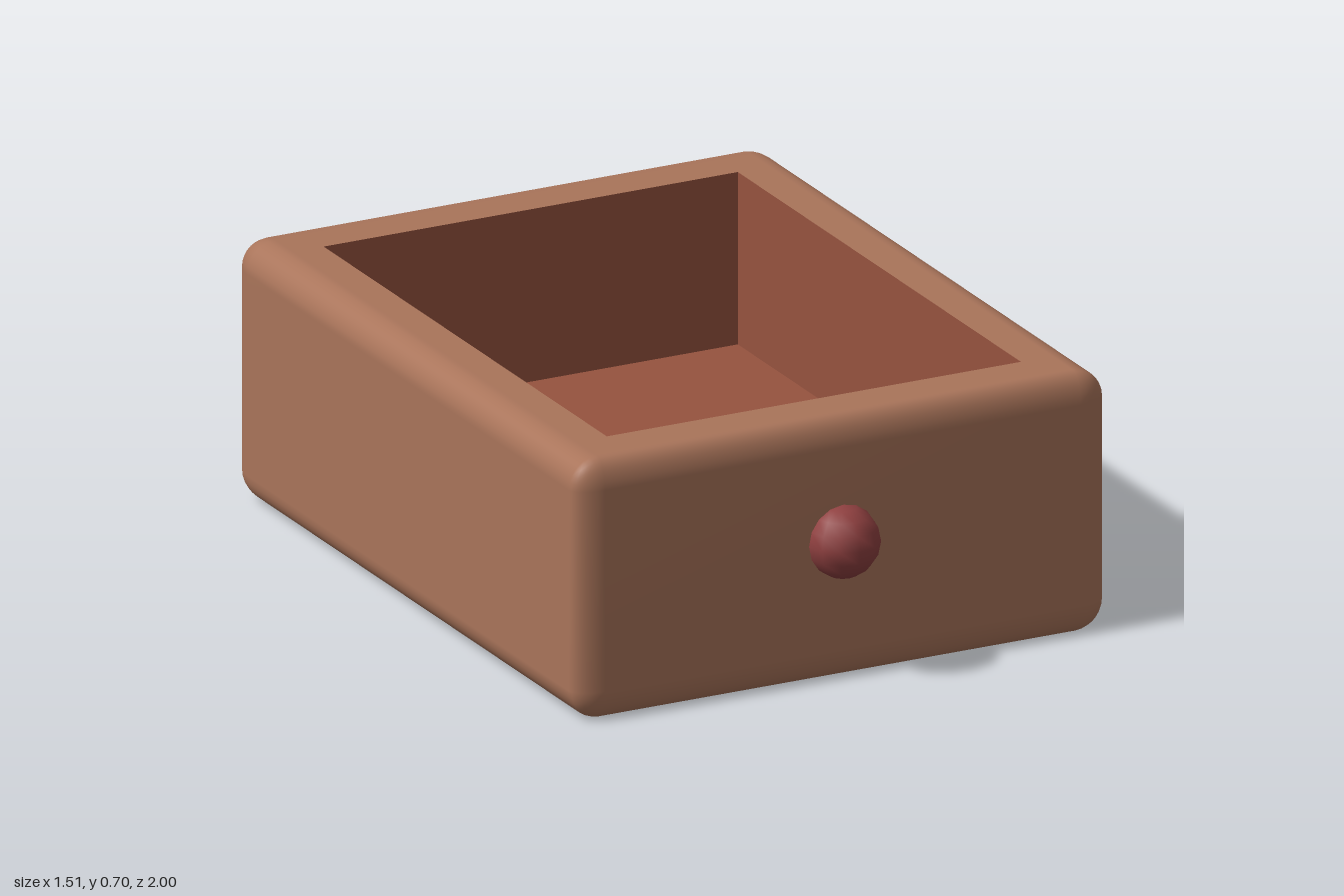
import * as THREE from 'three';
import { mergeVertices } from 'three/addons/utils/BufferGeometryUtils.js';
import { RoundedBoxGeometry } from 'three/addons/geometries/RoundedBoxGeometry.js';

const W = 1.51, H = 0.70, Z0 = -1, Z1 = 0.905;   // outer body
const R = 0.08, R_BACK = 0.10, R_FRONT = 0.045;  // edge rounding
const CAVITY = { x0: -0.59, x1: 0.585, z0: -0.80, z1: 0.75, floor: 0.237 };

const mat = (color) => new THREE.MeshStandardMaterial({ color });

function addMesh(group, name, geometry, material) {
  const mesh = new THREE.Mesh(geometry, material);
  mesh.name = name;
  group.add(mesh);
  return mesh;
}

// Rounded block with a tighter front edge, a softer back edge and no top face
function bodyGeometry() {
  const depth = Z1 - Z0, half = depth / 2;
  let g = new RoundedBoxGeometry(W, H, depth, 4, R);
  g.deleteAttribute('uv');
  g.deleteAttribute('normal');
  g = mergeVertices(g, 1e-5);
  const p = g.attributes.position;
  for (let i = 0; i < p.count; i++) {
    const z = p.getZ(i);
    p.setZ(i, z > 0 ? half - (half - z) * R_FRONT / R : -half + (half + z) * R_BACK / R);
  }
  g.computeVertexNormals();
  // Drop the flat top, which the rim replaces
  const kept = [], idx = g.index.array;
  for (let i = 0; i < idx.length; i += 3) {
    const tri = [idx[i], idx[i + 1], idx[i + 2]];
    if (!tri.every((v) => p.getY(v) > H / 2 - 1e-4)) kept.push(...tri);
  }
  g.setIndex(kept);
  return g.translate(0, H / 2, (Z0 + Z1) / 2);
}

// Flat rectangular frame around the opening (shape y becomes -z)
function rimGeometry() {
  const rect = (path, x0, x1, z0, z1) =>
    path.moveTo(x0, -z1).lineTo(x1, -z1).lineTo(x1, -z0).lineTo(x0, -z0).closePath();
  const shape = rect(new THREE.Shape(), -W / 2 + R, W / 2 - R, Z0 + R_BACK, Z1 - R_FRONT);
  shape.holes.push(rect(new THREE.Path(), CAVITY.x0, CAVITY.x1, CAVITY.z0, CAVITY.z1));
  return new THREE.ShapeGeometry(shape).rotateX(-Math.PI / 2).translate(0, H, 0);
}

// Inward-facing open box
function cavityGeometry() {
  const { x0, x1, z0, z1, floor } = CAVITY;
  const g = new THREE.BoxGeometry(x1 - x0, H - floor, z1 - z0);
  const idx = Array.from(g.index.array);
  idx.splice(12, 6); // remove the lid
  g.setIndex(idx);
  g.scale(-1, 1, 1);
  g.computeVertexNormals();
  return g.translate((x0 + x1) / 2, (H + floor) / 2, (z0 + z1) / 2);
}

export function createModel() {
  const group = new THREE.Group();
  group.name = 'drawer';
  const wood = mat(0xa9745a);

  addMesh(group, 'drawerBody', bodyGeometry(), wood);
  addMesh(group, 'drawerRim', rimGeometry(), wood);
  addMesh(group, 'drawerInterior', cavityGeometry(), mat(0x96533f));

  // Round pull knob, half sunk into the front
  const knob = addMesh(group, 'knob', new THREE.SphereGeometry(0.097, 12, 8), mat(0x8f4040));
  knob.position.set(0, 0.37, 0.903);

  return group;
}
